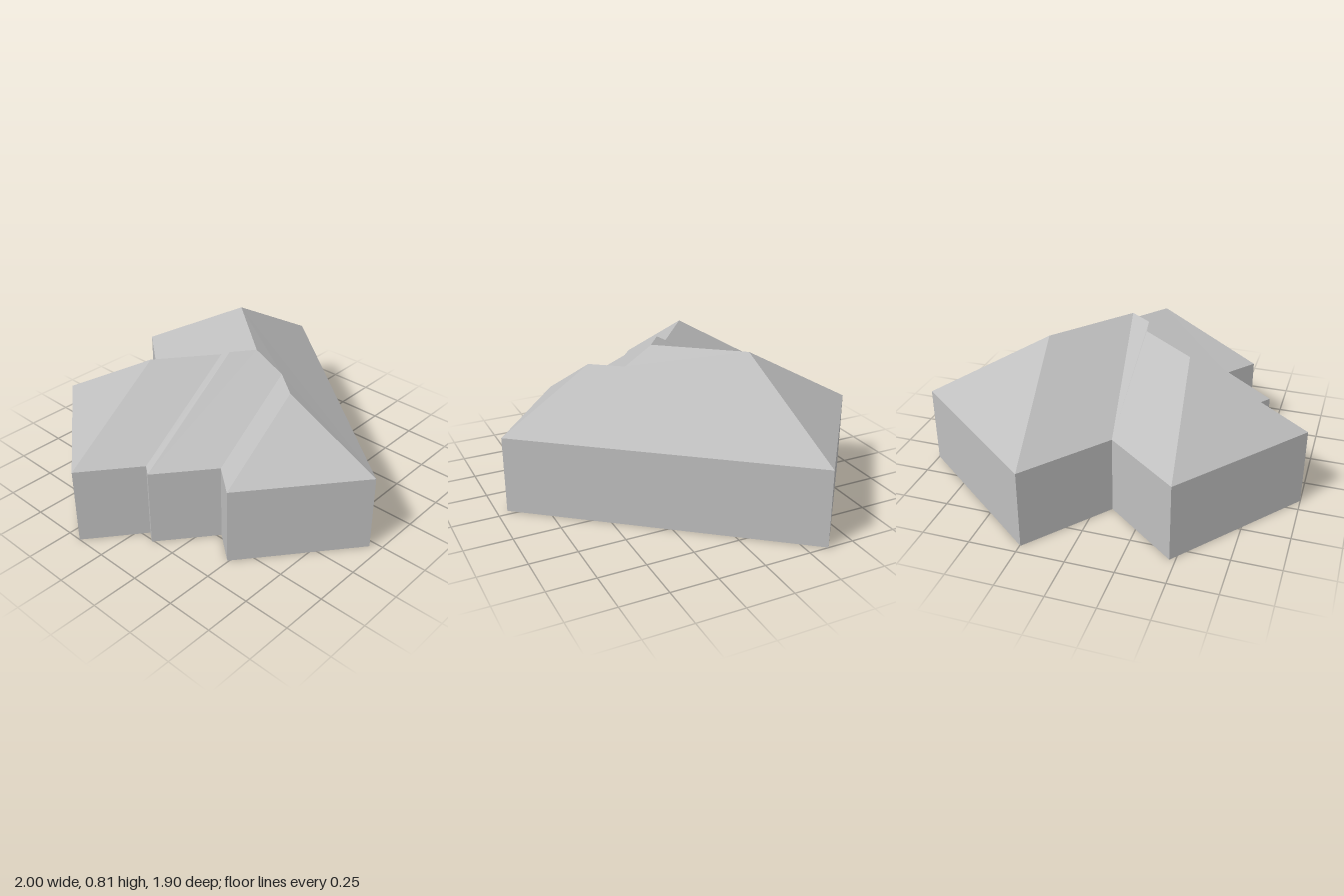
import * as THREE from 'three';

const EAVE = 0.42;

// Eave corners [x, z], counter-clockwise seen from above
const corners = {
  A: [-1, -0.17], J: [-0.717, 0.054], I: [-0.76, 0.112], H: [-0.481, 0.336], G: [-0.605, 0.493],
  F: [-0.037, 0.946], E: [1, -0.358], D: [0.246, -0.952], C: [-0.087, -0.533], B: [-0.471, -0.834],
};
// Ridge and valley points [x, z, y]
const ridges = {
  P: [-0.396, -0.235, 0.78], Q: [-0.108, -0.01, 0.78], R: [-0.104, 0.044, 0.81], S: [0.009, 0.129, 0.81],
  T: [0.331, -0.273, 0.81], U: [0.026, 0.287, 0.72], V: [-0.094, 0.443, 0.72],
};
// Roof slopes, each starting with its eave edge
const slopes = ['AJQP', 'JIRQ', 'IHUSR', 'HGVU', 'GFV', 'FETSUV', 'EDT', 'DCST', 'CBPQRS', 'BAP'];

// Triangulates a polygon of points by its plan outline
function fillPlan(points, out) {
  const plan = points.map((p) => new THREE.Vector2(p.x, -p.z));
  for (const tri of THREE.ShapeUtils.triangulateShape(plan, [])) {
    out.push(...tri.map((i) => points[i]));
  }
}

function makeMesh(name, points, material) {
  const geometry = new THREE.BufferGeometry().setFromPoints(points);
  geometry.computeVertexNormals();
  const mesh = new THREE.Mesh(geometry, material);
  mesh.name = name;
  return mesh;
}

export function createModel() {
  const group = new THREE.Group();
  group.name = 'house';
  const grey = new THREE.MeshStandardMaterial({ color: 0xbfbfbf });
  grey.name = 'plain grey';

  const outline = Object.values(corners);
  const at = ([x, z], y) => new THREE.Vector3(x, y, z);

  // Walls: one upright panel per eave edge
  const walls = [];
  outline.forEach((a, i) => {
    const b = outline[(i + 1) % outline.length];
    const [a0, b0, b1, a1] = [at(a, 0), at(b, 0), at(b, EAVE), at(a, EAVE)];
    walls.push(a0, b0, b1, a0, b1, a1);
  });
  group.add(makeMesh('walls', walls, grey));

  // Hipped roof
  const roof = [];
  for (const slope of slopes) {
    const points = [...slope].map((k) => (corners[k] ? at(corners[k], EAVE) : at(ridges[k], ridges[k][2])));
    fillPlan(points, roof);
  }
  group.add(makeMesh('roof', roof, grey));

  // Floor, facing down
  const floor = [];
  fillPlan(outline.map((p) => at(p, 0)), floor);
  group.add(makeMesh('floor', floor.reverse(), grey));

  return group;
}
